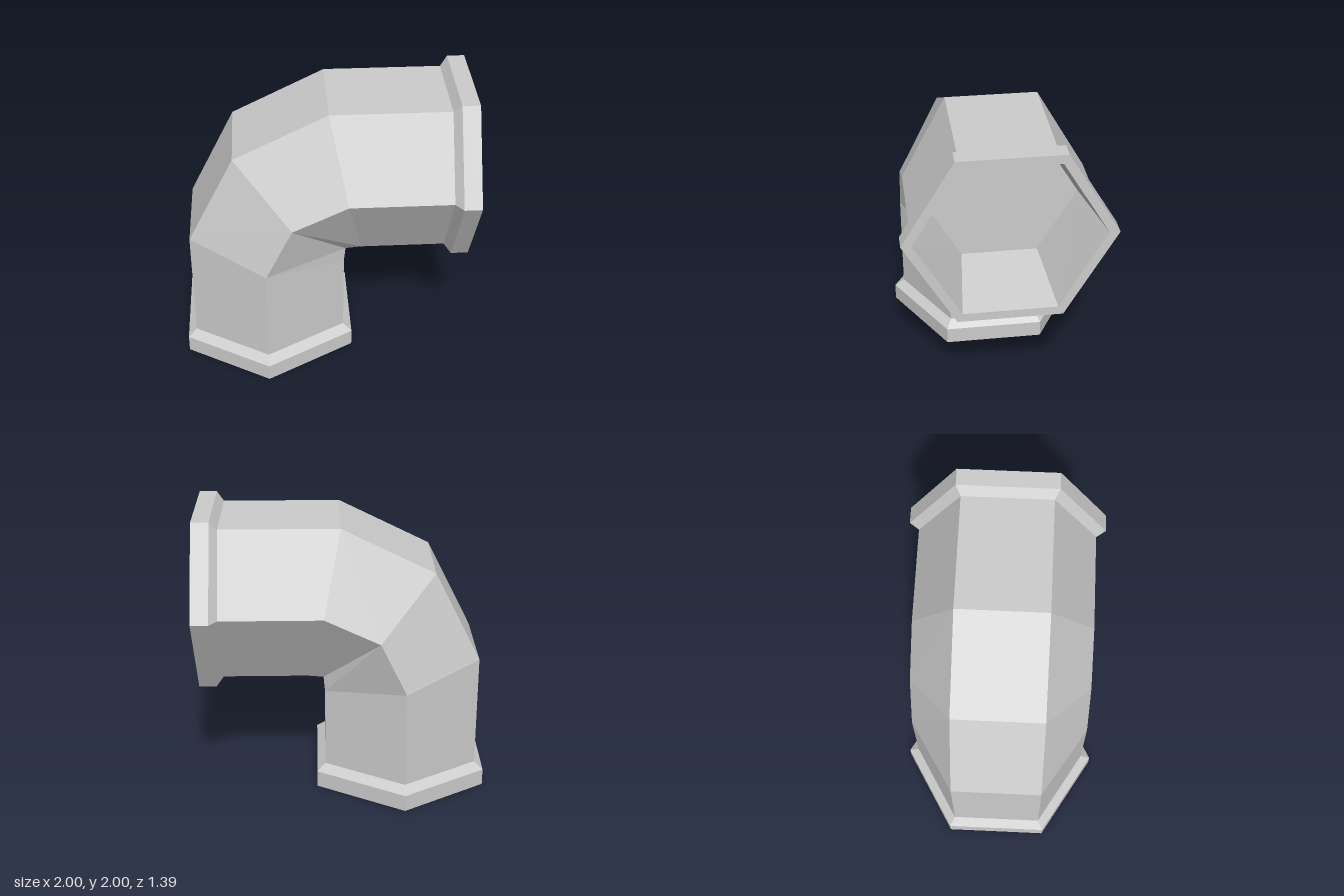
import * as THREE from 'three';

const material = new THREE.MeshStandardMaterial({
  color: 0xcccccc, flatShading: true, side: THREE.DoubleSide,
});

// Six-sided ring: outer, middle and inner points in the xy plane, plus half widths in z
const ring = (outer, middle, inner, zSide, zMiddle) => [
  [...outer, zSide], [...middle, zMiddle], [...inner, zSide],
  [...inner, -zSide], [...middle, -zMiddle], [...outer, -zSide],
];
const level = (y, xo, xi, zSide, zMiddle) => ring([xo, y], [-0.42, y], [xi, y], zSide, zMiddle);

// Swaps the upright arm for the horizontal one
const mirror = (r) => r.map(([x, y, z]) => [1 - y, 1 - x, z]);

// Skins consecutive rings, optionally closing the first or last one
function loft(name, rings, capStart = false, capEnd = false) {
  const pos = [];
  const tri = (a, b, c) => pos.push(...a, ...b, ...c);
  for (let k = 0; k + 1 < rings.length; k++) {
    const a = rings[k], b = rings[k + 1];
    for (let i = 0; i < 6; i++) {
      const j = (i + 1) % 6;
      tri(a[i], a[j], b[j]);
      tri(a[i], b[j], b[i]);
    }
  }
  const first = rings[0], last = rings[rings.length - 1];
  for (let i = 1; i < 5; i++) {
    if (capStart) tri(first[0], first[i + 1], first[i]);
    if (capEnd) tri(last[0], last[i], last[i + 1]);
  }
  const geometry = new THREE.BufferGeometry();
  geometry.setAttribute('position', new THREE.Float32BufferAttribute(pos, 3));
  geometry.computeVertexNormals();
  const mesh = new THREE.Mesh(geometry, material);
  mesh.name = name;
  return mesh;
}

export function createModel() {
  const group = new THREE.Group();
  group.name = 'pipeElbow';

  // Lower arm rings, from the recessed socket floor out to the rim and up to the bend
  const socketFloor = level(0.54, -0.85, 0.03, 0.26, 0.52);
  const rimInside = level(0, -0.94, 0.13, 0.313, 0.625);
  const rimOutside = level(0, -1, 0.19, 0.347, 0.693);
  const collarTop = level(0.12, -1, 0.19, 0.347, 0.693);
  const pipeStart = level(0.17, -0.94, 0.13, 0.313, 0.625);
  const bendStart = ring([-0.94, 0.98], [-0.42, 0.865], [0.13, 0.75], 0.313, 0.625);
  const bendMiddle = ring([-0.62, 1.62], [-0.24, 1.24], [0.14, 0.86], 0.313, 0.625);

  const socket = [socketFloor, rimInside];
  const collar = [rimInside, rimOutside, collarTop, pipeStart];
  const arm = [pipeStart, bendStart, bendMiddle];
  const opposite = (rings) => rings.map(mirror).reverse();

  group.add(
    loft('lowerSocket', socket, true),
    loft('lowerCollar', collar),
    loft('bentPipe', [...arm, ...opposite(arm).slice(1)]),
    loft('sideCollar', opposite(collar)),
    loft('sideSocket', opposite(socket), false, true),
  );
  return group;
}
